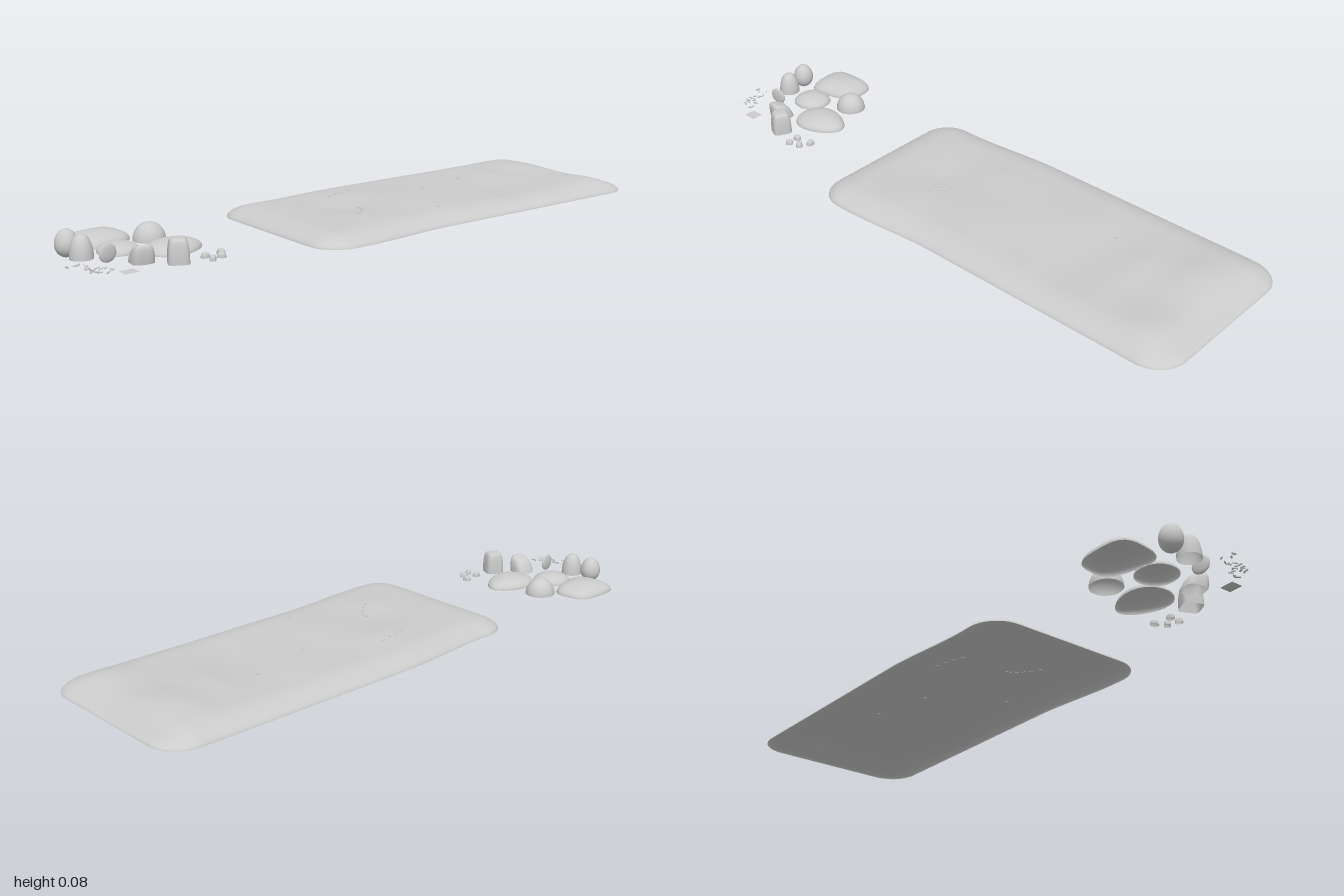
import * as THREE from 'three';

const GROUND = 0.011;

// small seeded random in 0..1
function seeded(seed) {
  return () => {
    seed = (seed * 16807) % 2147483647;
    return seed / 2147483647;
  };
}

const material = new THREE.MeshStandardMaterial({ color: 0xcccccc, side: THREE.DoubleSide });

function part(group, name, geometry, x = 0, y = 0, z = 0) {
  const mesh = new THREE.Mesh(geometry, material);
  mesh.name = name;
  mesh.position.set(x, y, z);
  group.add(mesh);
  return mesh;
}

// moves every vertex by a rule and renews the normals
function reshape(geometry, rule) {
  const p = geometry.attributes.position;
  const v = new THREE.Vector3();
  for (let i = 0; i < p.count; i++) {
    rule(v.fromBufferAttribute(p, i));
    p.setXYZ(i, v.x, v.y, v.z);
  }
  geometry.computeVertexNormals();
  return geometry;
}

// soft mounds and hollows of the slab: x, z, width in x, width in z, height
const MOUNDS = [
  [-0.11, -0.84, 0.13, 0.09, 0.014],
  [0.17, -0.86, 0.08, 0.08, 0.009],
  [-0.05, -0.68, 0.11, 0.06, 0.006],
  [0.1, -0.54, 0.16, 0.08, -0.005],
  [-0.12, -0.42, 0.1, 0.1, 0.004],
  [0.05, -0.2, 0.16, 0.14, 0.007],
  [-0.12, -0.08, 0.08, 0.1, 0.006],
  [0.0, 0.06, 0.08, 0.08, -0.004],
  [0.14, 0.06, 0.1, 0.1, 0.005],
  [-0.1, 0.18, 0.12, 0.08, 0.003],
  [0.0, -0.97, 0.3, 0.05, -0.013],
];

function slabHeight(x, z) {
  return MOUNDS.reduce((h, [mx, mz, wx, wz, a]) =>
    h + a * Math.exp(-(((x - mx) / wx) ** 2) - ((z - mz) / wz) ** 2), 0.034);
}

// open, rounded, undulating sheet
function slabGeometry() {
  const halfX = 0.304, halfZ = 0.666, r = 0.1;
  const g = new THREE.PlaneGeometry(2, 2, 56, 110).rotateX(-Math.PI / 2);
  return reshape(g, (v) => {
    let x = halfX * Math.sin(v.x * Math.PI / 2);
    let z = halfZ * Math.sin(v.z * Math.PI / 2);
    const dx = Math.max(0, Math.abs(x) - halfX + r);
    const dz = Math.max(0, Math.abs(z) - halfZ + r);
    const s = Math.max(dx, dz);
    if (dx > 0 && dz > 0) {
      const k = s / Math.hypot(dx, dz);
      x = Math.sign(x) * (halfX - r + dx * k);
      z = Math.sign(z) * (halfZ - r + dz * k);
    }
    z -= 0.334;
    x += -0.014 + 0.024 * THREE.MathUtils.smoothstep(z, -0.15, 0.2);
    const edge = Math.pow(Math.max(0, 1 - (s / r) ** 2), 0.62);
    v.set(x, GROUND + slabHeight(x, z) * edge, z);
  });
}

// open dome: square > 2 makes the plan boxy, taper narrows it toward the back,
// full > 1 fattens the sides, tilt raises one side of the top, lean shifts the top
function dome(w, h, d, { square = 2, taper = 0, full = 1, tilt = 0, lean = 0 } = {}) {
  const g = new THREE.SphereGeometry(1, 36, 16, 0, Math.PI * 2, 0, Math.PI / 2);
  return reshape(g, (v) => {
    const plan = Math.hypot(v.x, v.z);
    let x = 0, z = 0;
    if (plan > 1e-6) {
      const cx = v.x / plan, cz = v.z / plan;
      const n = (Math.abs(cx) ** square + Math.abs(cz) ** square) ** (1 / square);
      const k = Math.pow(plan, 1 / full) / n;
      x = cx * k;
      z = cz * k;
    }
    v.set(w / 2 * x * (1 + taper * z) + lean * v.y, h * v.y * (1 + tilt * x), d / 2 * z);
  });
}

export function createModel() {
  const model = new THREE.Group();
  model.name = 'slabAndStones';
  const rand = seeded(41);

  part(model, 'slab', slabGeometry());

  // low flat stones
  const flatStones = [
    [-0.225, 0.785, 0.155, 0.036, 0.19, { square: 3.2, taper: 0.14 }, 0.12],
    [-0.083, 0.79, 0.122, 0.03, 0.125, { square: 2.2 }, 0],
    [-0.005, 0.655, 0.145, 0.034, 0.185, { taper: 0.22 }, 0.05],
  ];
  flatStones.forEach(([x, z, w, h, d, opt, turn]) => {
    part(model, 'flatStone', dome(w, h, d, opt), x, GROUND, z).rotation.y = turn;
  });

  // upright stones
  part(model, 'roundStone', dome(0.098, 0.055, 0.1), -0.144, GROUND, 0.655);
  part(model, 'domeStone', dome(0.07, 0.071, 0.07, { full: 1.25 }), -0.079, GROUND, 0.908);
  part(model, 'blockStone', dome(0.064, 0.073, 0.062, { square: 5, full: 3.5 }), 0.127, GROUND, 0.715)
    .rotation.y = -0.45;
  part(model, 'leaningStone', dome(0.07, 0.051, 0.068, { square: 3.5, full: 2.4, tilt: 0.22, lean: 0.012 }),
    0.057, GROUND, 0.793).rotation.y = -0.2;

  // egg resting on its end
  part(model, 'eggStone', reshape(new THREE.SphereGeometry(1, 32, 24), (v) => {
    const k = 0.034 * (1 - 0.08 * v.y);
    v.set(v.x * k, v.y * 0.042, v.z * k);
  }), -0.155, 0.042, 0.917);

  // thin standing flake
  const flake = part(model, 'flake', new THREE.SphereGeometry(1, 20, 14), 0.006, 0.039, 0.87);
  flake.scale.set(0.007, 0.028, 0.03);
  flake.rotation.y = 0.15;

  // small square tile
  part(model, 'tile', new THREE.PlaneGeometry(0.04, 0.045).rotateX(-Math.PI / 2), 0.125, 0.012, 0.868);

  // pebbles
  [[0.122, 0.573, 0.027], [0.155, 0.592, 0.026], [0.13, 0.63, 0.026], [0.167, 0.628, 0.024]]
    .forEach(([x, z, s], i) => {
      part(model, 'pebble', dome(s, 0.016, s * 0.8, { square: 3, full: 2 }), x, GROUND, z)
        .rotation.y = i * 0.8;
    });

  // loose splinters in front of the stones
  for (let i = 0; i < 22; i++) {
    const t = rand();
    const x = -0.008 + 0.115 * t;
    const y = 0.013 + 0.008 * rand();
    const z = Math.min(0.993, 0.985 - 0.06 * t - 0.05 * (rand() - 0.4));
    part(model, 'splinter', new THREE.BoxGeometry(0.004, 0.003, 0.014), x, y, z)
      .rotation.set(0.6 * (rand() - 0.5), rand() * Math.PI, 0.5 * (rand() - 0.5));
  }

  // tiny chips lying on the slab
  const chips = [[-0.1, -0.545], [0.185, -0.195], [-0.05, -0.34]];
  for (let i = 0; i < 4; i++) chips.push([-0.166 + 0.009 * i, -0.11 + 0.033 * i]);
  for (let i = 0; i < 6; i++) chips.push([0.03 + 0.016 * i, 0.07 * (i / 5) ** 2]);
  chips.forEach(([x, z], i) => {
    part(model, 'chip', new THREE.BoxGeometry(0.006, 0.003, 0.011),
      x, GROUND + slabHeight(x, z), z).rotation.y = i ? 0.4 : 0;
  });

  return model;
}
